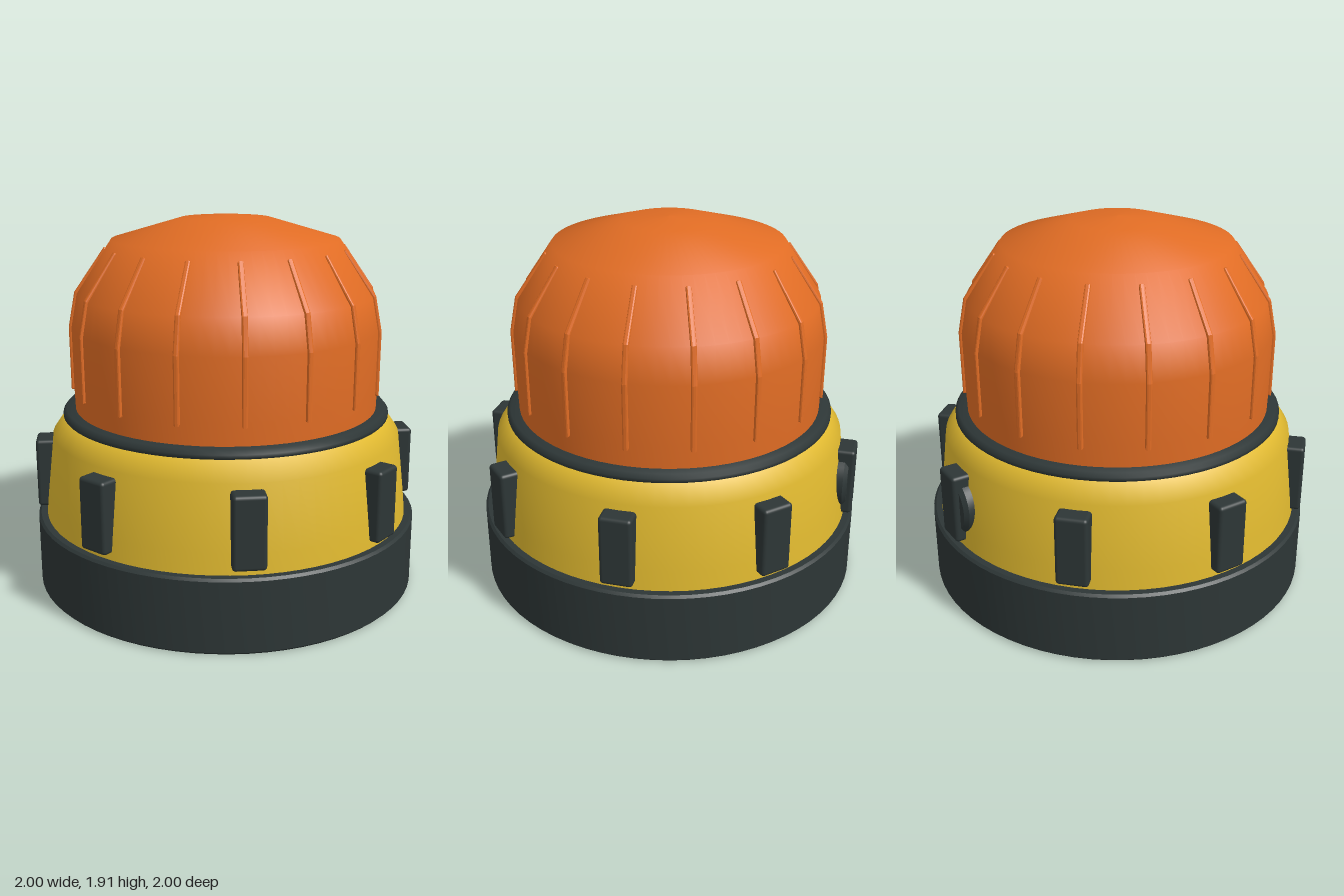
import * as THREE from 'three';
import { toCreasedNormals } from 'three/addons/utils/BufferGeometryUtils.js';
import { RoundedBoxGeometry } from 'three/addons/geometries/RoundedBoxGeometry.js';

const SEGMENTS = 72;

function material(name, color) {
  const m = new THREE.MeshStandardMaterial({ color });
  m.name = name;
  return m;
}

const points = (list) => list.map(([x, y]) => new THREE.Vector2(x, y));

export function createModel() {
  const group = new THREE.Group();
  group.name = 'beaconLamp';
  const orange = material('orange lens', 0xe06c24);
  const yellow = material('yellow housing', 0xdfb82f);
  const dark = material('dark rubber', 0x2d3636);

  function add(name, geometry, mat, parent = group) {
    const mesh = new THREE.Mesh(geometry, mat);
    mesh.name = name;
    parent.add(mesh);
    return mesh;
  }
  const lathe = (profile) => new THREE.LatheGeometry(points(profile), SEGMENTS);

  // Heavy base with a small bevel on both rims
  add('base', toCreasedNormals(lathe([
    [0, 0], [0.988, 0], [1, 0.012], [1, 0.365], [0.988, 0.377], [0, 0.377],
  ]), 0.5), dark);

  // Tapered housing
  add('housing', lathe([
    [0.957, 0.36], [0.945, 0.48], [0.907, 0.8], [0.845, 0.89], [0.78, 0.9],
  ]), yellow);

  // Gasket between housing and lens
  add('gasket', toCreasedNormals(lathe([
    [0.74, 0.885], [0.838, 0.885], [0.85, 0.897], [0.85, 0.913],
    [0.833, 0.933], [0.74, 0.933],
  ]), 0.9), dark);

  // Lens dome
  add('lens', lathe([
    [0.785, 0.89], [0.79, 1.05], [0.792, 1.35], [0.76, 1.52],
    [0.58, 1.79], [0.23, 1.893], [0, 1.91],
  ]), orange);

  // Sixteen ribs hugging the lens, each a thin bevelled fin
  const ribShape = new THREE.Shape(points([
    [0.75, 1.03], [0.796, 1.03], [0.798, 1.35], [0.764, 1.525],
    [0.613, 1.742], [0.58, 1.735], [0.71, 1.5], [0.75, 1.34],
  ]));
  const ribGeometry = new THREE.ExtrudeGeometry(ribShape, {
    depth: 0.012, bevelSize: 0.008, bevelThickness: 0.008, bevelSegments: 2,
  });
  ribGeometry.translate(0, 0, -0.006);
  const ribs = new THREE.Group();
  ribs.name = 'lensRibs';
  group.add(ribs);
  for (let i = 0; i < 16; i++) {
    add('lensRib', ribGeometry, orange, ribs).rotation.y = (i * Math.PI) / 8;
  }

  // Eight grip blocks around the housing
  const gripGeometry = new RoundedBoxGeometry(0.16, 0.36, 0.14, 3, 0.018);
  gripGeometry.translate(0, 0.59, 0.927);
  const grips = new THREE.Group();
  grips.name = 'gripBlocks';
  group.add(grips);
  for (let i = 0; i < 8; i++) {
    add('gripBlock', gripGeometry, dark, grips).rotation.y = (i * Math.PI) / 4;
  }

  // Round bevelled cap behind the rear grip block
  const cap = add('rearCap', toCreasedNormals(new THREE.LatheGeometry(points([
    [0, 0], [0.148, 0], [0.148, 0.055], [0.128, 0.075], [0, 0.075],
  ]), 32), 0.5), dark);
  cap.rotation.x = -Math.PI / 2;
  cap.position.set(0, 0.585, -0.893);

  return group;
}
